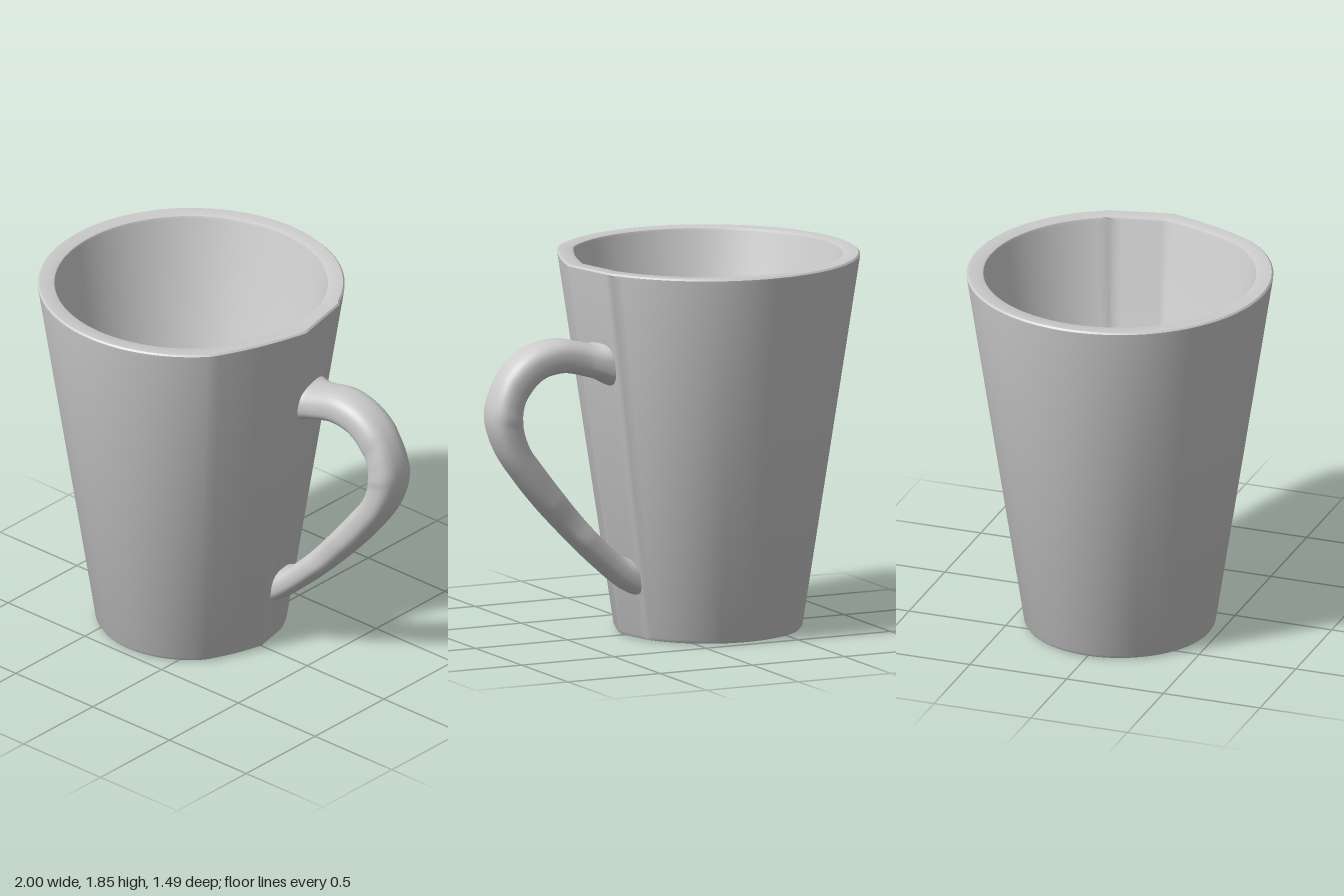
import * as THREE from 'three';
import { toCreasedNormals, mergeVertices } from 'three/addons/utils/BufferGeometryUtils.js';

const material = new THREE.MeshStandardMaterial({ color: 0xcccccc, side: THREE.DoubleSide });
const rad = THREE.MathUtils.degToRad;

// Radius factor of the cup: round, with two flattened panels meeting at +x
function panelFactor(a) {
  const chord = (span, t) => Math.cos(span / 2) / Math.cos(t - span / 2);
  if (a <= 0 && a >= -rad(25)) return 1.01 * chord(rad(25), -a);
  if (a > 0 && a < rad(40)) return THREE.MathUtils.lerp(1.01, 1, a / rad(40)) * (0.4 + 0.6 * chord(rad(40), a));
  return 1;
}

// Tapered hollow cup
function makeCup() {
  const profile = [
    [0, 0.008], [0.435, 0.008], [0.44, 0], [0.455, 0.004], [0.465, 0.02],
    [0.743, 1.83], [0.744, 1.842], [0.736, 1.85],
    [0.672, 1.85], [0.663, 1.846], [0.658, 1.835],
    [0.39, 0.095], [0.38, 0.08], [0, 0.08],
  ].map(([r, y]) => new THREE.Vector2(r, y));
  const geometry = new THREE.LatheGeometry(profile, 144);
  const p = geometry.attributes.position;
  for (let i = 0; i < p.count; i++) {
    const f = panelFactor(Math.atan2(p.getZ(i), p.getX(i)));
    p.setX(i, p.getX(i) * f);
    p.setZ(i, p.getZ(i) * f);
  }
  const mesh = new THREE.Mesh(toCreasedNormals(geometry, 0.55), material);
  mesh.name = 'cup';
  mesh.position.x = -0.255;
  return mesh;
}

// Handle: rounded sections lofted between an outer and an inner edge
function makeHandle() {
  // outer x, outer y, inner x, inner y, centre z, half width
  const stations = [
    [0.39, 1.485, 0.365, 1.27, -0.14, 0.135],
    [0.44, 1.478, 0.415, 1.30, -0.14, 0.122],
    [0.50, 1.492, 0.49, 1.325, -0.135, 0.111],
    [0.63, 1.516, 0.61, 1.35, -0.133, 0.106],
    [0.78, 1.485, 0.725, 1.325, -0.133, 0.104],
    [0.90, 1.40, 0.80, 1.25, -0.133, 0.103],
    [0.975, 1.27, 0.828, 1.18, -0.133, 0.103],
    [0.997, 1.14, 0.826, 1.10, -0.133, 0.103],
    [0.945, 0.98, 0.79, 1.00, -0.131, 0.102],
    [0.835, 0.82, 0.72, 0.905, -0.128, 0.101],
    [0.70, 0.66, 0.60, 0.755, -0.122, 0.10],
    [0.54, 0.495, 0.445, 0.575, -0.117, 0.10],
    [0.39, 0.355, 0.33, 0.462, -0.113, 0.102],
    [0.27, 0.255, 0.275, 0.42, -0.11, 0.107],
    [0.20, 0.215, 0.225, 0.40, -0.11, 0.11],
  ];
  const curve = (pick) => new THREE.CatmullRomCurve3(stations.map((s) => new THREE.Vector3(...pick(s))));
  const outer = curve((s) => [s[0], s[1], s[4]]);
  const inner = curve((s) => [s[2], s[3], s[4]]);
  const width = curve((s) => [s[5], 0, 0]);
  const rows = 84, cols = 32;
  const soft = (v) => Math.sign(v) * Math.abs(v) ** 0.76;
  const positions = [], index = [];
  for (let i = 0; i <= rows; i++) {
    const t = i / rows;
    const o = outer.getPoint(t), n = inner.getPoint(t), w = width.getPoint(t).x;
    for (let j = 0; j < cols; j++) {
      const a = (j / cols) * Math.PI * 2;
      const q = n.clone().lerp(o, 0.5 + 0.5 * soft(Math.cos(a)));
      positions.push(q.x, q.y, q.z + w * soft(Math.sin(a)));
      if (i < rows) {
        const k = i * cols + j, m = i * cols + ((j + 1) % cols);
        index.push(k, m, k + cols, m, m + cols, k + cols);
      }
    }
  }
  let geometry = new THREE.BufferGeometry();
  geometry.setAttribute('position', new THREE.Float32BufferAttribute(positions, 3));
  geometry.setIndex(index);
  geometry = mergeVertices(geometry);
  geometry.computeVertexNormals();
  const mesh = new THREE.Mesh(geometry, material);
  mesh.name = 'handle';
  return mesh;
}

export function createModel() {
  const group = new THREE.Group();
  group.name = 'mug';
  group.add(makeCup(), makeHandle());
  return group;
}
